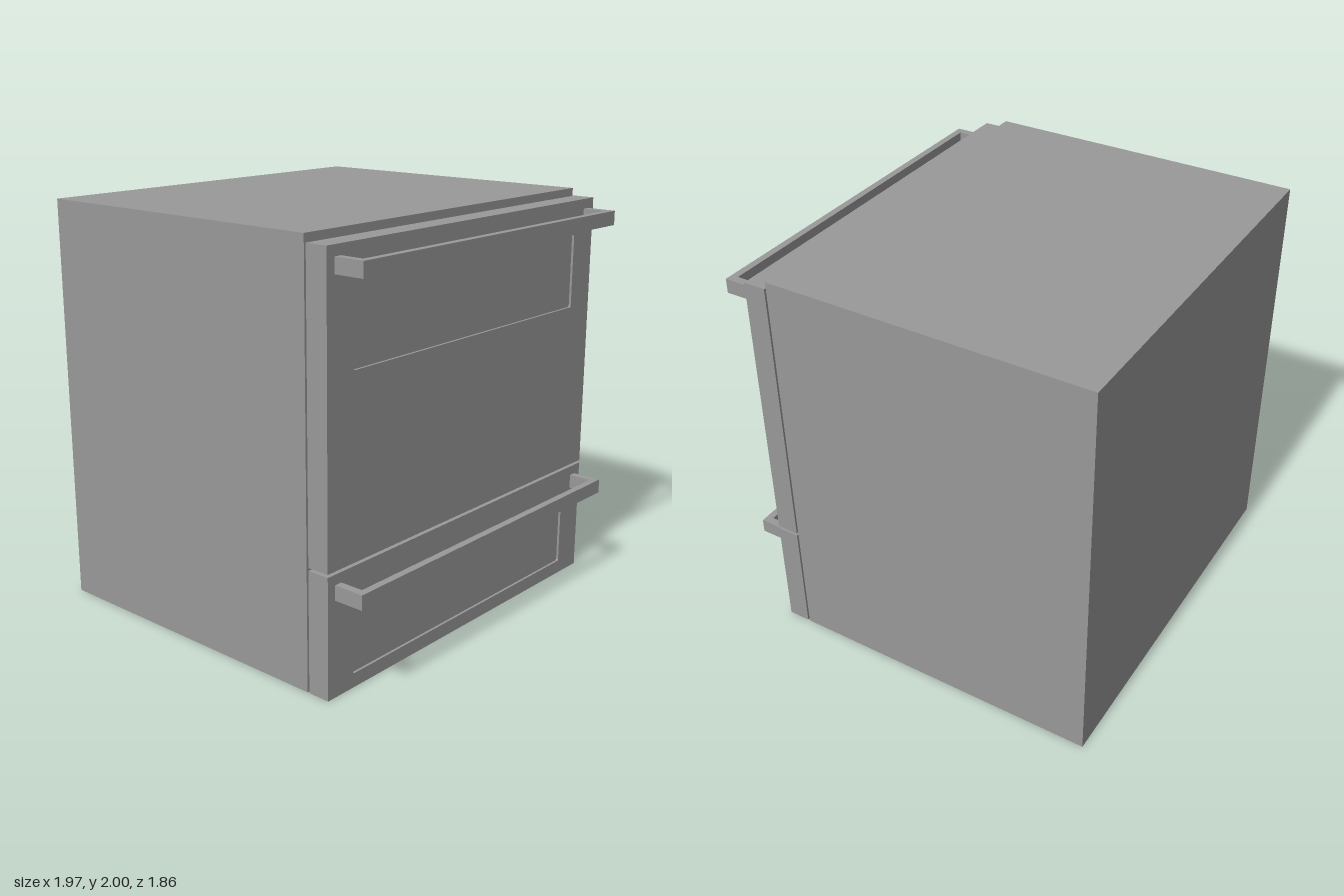
import * as THREE from 'three';

const HALF_W = 0.985;   // half width of cabinet and fronts
const BACK = 0.67;      // rear of the fronts
const FRONT = 0.78;     // outer face of the fronts
const RECESS = 0.012;   // depth of the sunken panel

// Rectangle with small rounded corners
function roundedRect(path, x0, y0, x1, y1, r) {
  path.moveTo(x0 + r, y0);
  path.lineTo(x1 - r, y0);
  path.quadraticCurveTo(x1, y0, x1, y0 + r);
  path.lineTo(x1, y1 - r);
  path.quadraticCurveTo(x1, y1, x1 - r, y1);
  path.lineTo(x0 + r, y1);
  path.quadraticCurveTo(x0, y1, x0, y1 - r);
  path.lineTo(x0, y0 + r);
  path.quadraticCurveTo(x0, y0, x0 + r, y0);
  return path;
}

export function createModel() {
  const model = new THREE.Group();
  model.name = 'twoDrawerAppliance';
  const grey = new THREE.MeshStandardMaterial({ color: 0x999999 });
  grey.name = 'grey';

  const add = (parent, name, geometry) => {
    const mesh = new THREE.Mesh(geometry, grey);
    mesh.name = name;
    parent.add(mesh);
  };
  const box = (x0, x1, y0, y1, z0, z1) =>
    new THREE.BoxGeometry(x1 - x0, y1 - y0, z1 - z0)
      .translate((x0 + x1) / 2, (y0 + y1) / 2, (z0 + z1) / 2);

  // Main cabinet
  add(model, 'cabinet', box(-HALF_W, HALF_W, 0, 2, -0.93, 0.66));

  // Upper door and lower drawer share one construction
  const fronts = [
    { name: 'upperDoor', y0: 0.587, y1: 1.963, panel: [1.433, 1.8], handleTop: 1.915 },
    { name: 'lowerDrawer', y0: 0, y1: 0.573, panel: [0.067, 0.433], handleTop: 0.525 },
  ];
  for (const f of fronts) {
    const group = new THREE.Group();
    group.name = f.name;
    model.add(group);

    // Backing slab, whose face is the floor of the recess
    add(group, 'backing', box(-HALF_W, HALF_W, f.y0, f.y1, BACK, FRONT - RECESS));

    // Raised face frame around the recess
    const face = new THREE.Shape();
    face.moveTo(-HALF_W, f.y0);
    face.lineTo(HALF_W, f.y0);
    face.lineTo(HALF_W, f.y1);
    face.lineTo(-HALF_W, f.y1);
    face.closePath();
    face.holes.push(roundedRect(new THREE.Path(), -0.823, f.panel[0], 0.823, f.panel[1], 0.01));
    add(group, 'faceFrame', new THREE.ExtrudeGeometry(face, {
      depth: RECESS, bevelEnabled: false, curveSegments: 4,
    }).translate(0, 0, FRONT - RECESS));

    // Square bar handle: a U outline in plan, extruded downwards
    const plan = [[-0.94, FRONT], [-0.9, FRONT], [-0.9, 0.895], [0.9, 0.895],
      [0.9, FRONT], [0.94, FRONT], [0.94, 0.93], [-0.94, 0.93]];
    const outline = new THREE.Shape(plan.map(([x, z]) => new THREE.Vector2(x, z)));
    add(group, 'handle', new THREE.ExtrudeGeometry(outline, { depth: 0.07, bevelEnabled: false })
      .rotateX(Math.PI / 2).translate(0, f.handleTop, 0));
  }
  return model;
}
